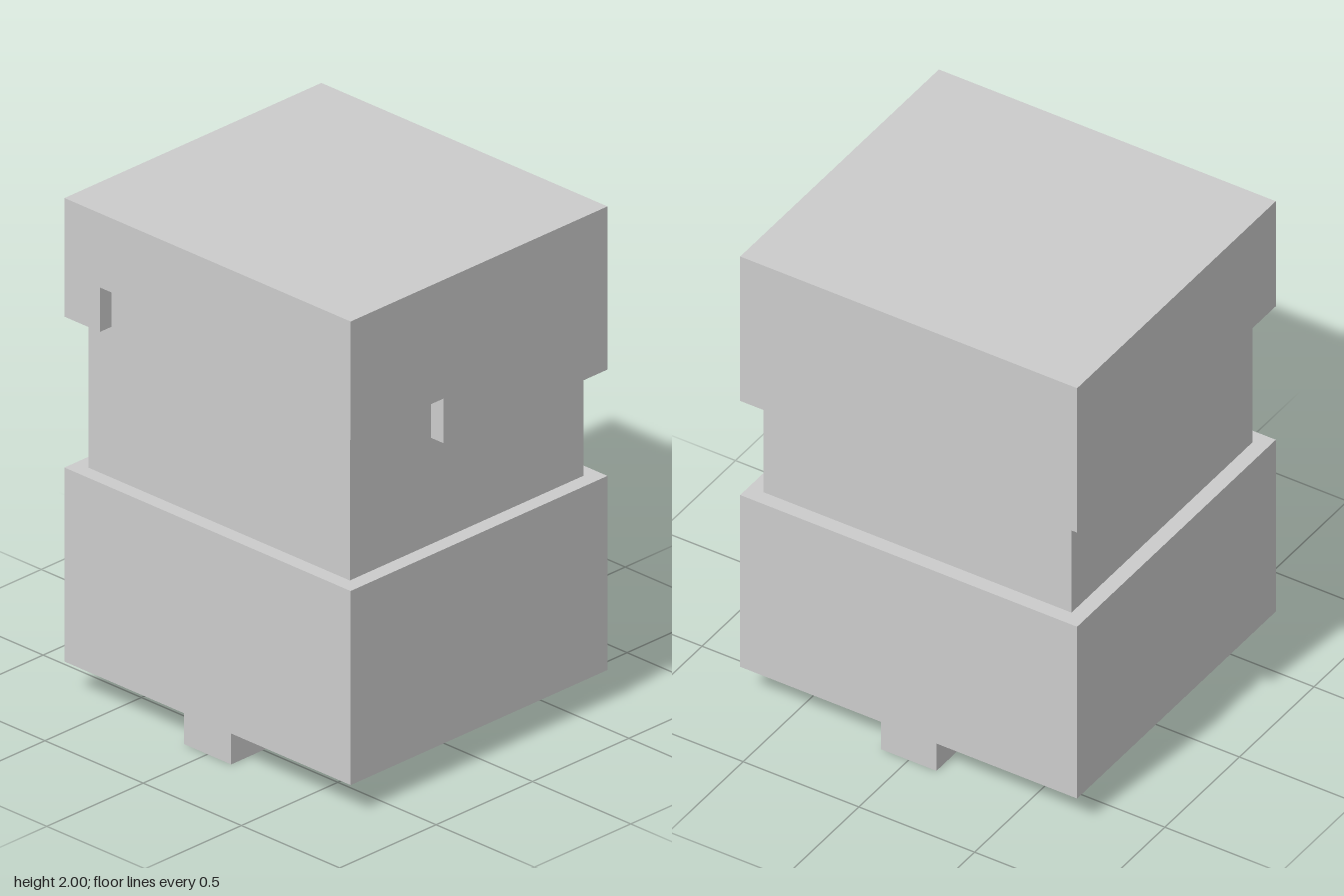
import * as THREE from 'three';

const W = 0.728, D = 0.666;       // half width and half depth of body and hair
const HW = 0.665, HD = 0.606;     // half width and half depth of head
const TOP = 2, CAP = 1.94;        // top of hair, underside of its crown

export function createModel() {
  const group = new THREE.Group();
  const material = new THREE.MeshStandardMaterial({ color: 0xcccccc, flatShading: true });

  const add = (name, geometry, parent = group) => {
    const mesh = new THREE.Mesh(geometry, material);
    mesh.name = name;
    parent.add(mesh);
    return mesh;
  };
  // Box from half width, y range and z range
  const block = (name, hx, y0, y1, z0, z1, parent) =>
    add(name, new THREE.BoxGeometry(2 * hx, y1 - y0, z1 - z0), parent)
      .position.set(0, (y0 + y1) / 2, (z0 + z1) / 2);
  // Flat panel cut from an outline
  const panel = (points, depth) => new THREE.ExtrudeGeometry(
    new THREE.Shape(points.map(([x, y]) => new THREE.Vector2(x, y))),
    { depth, bevelEnabled: false });

  // Base rail, body and head
  block('foot', 0.12, 0, 0.125, -D, D);
  block('body', W, 0.125, 0.91, -D, D);
  block('head', HW, 0.91, CAP, -HD, HD);

  // Hair shell: crown, back, fringe and stepped sides
  const hair = new THREE.Group();
  hair.name = 'hair';
  group.add(hair);
  block('hairCrown', W, CAP, TOP, -D, D, hair);
  block('hairBack', W, 1.34, CAP, -D, -HD, hair);

  const fringe = panel([
    [-W, 1.52], [-0.548, 1.52], [-0.548, 1.7], [0.548, 1.7],
    [0.548, 1.52], [W, 1.52], [W, CAP], [-W, CAP],
  ], D - HD);
  add('hairFringe', fringe, hair).position.z = HD;

  // Side outline is drawn in z and y, then turned to face sideways
  const side = panel([
    [-HD, 1.34], [0.185, 1.34], [0.185, 1.52], [HD, 1.52], [HD, CAP], [-HD, CAP],
  ], W - HW).rotateY(-Math.PI / 2);
  add('hairSideLeft', side, hair).position.x = W;
  add('hairSideRight', side, hair).position.x = -HW;

  return group;
}
